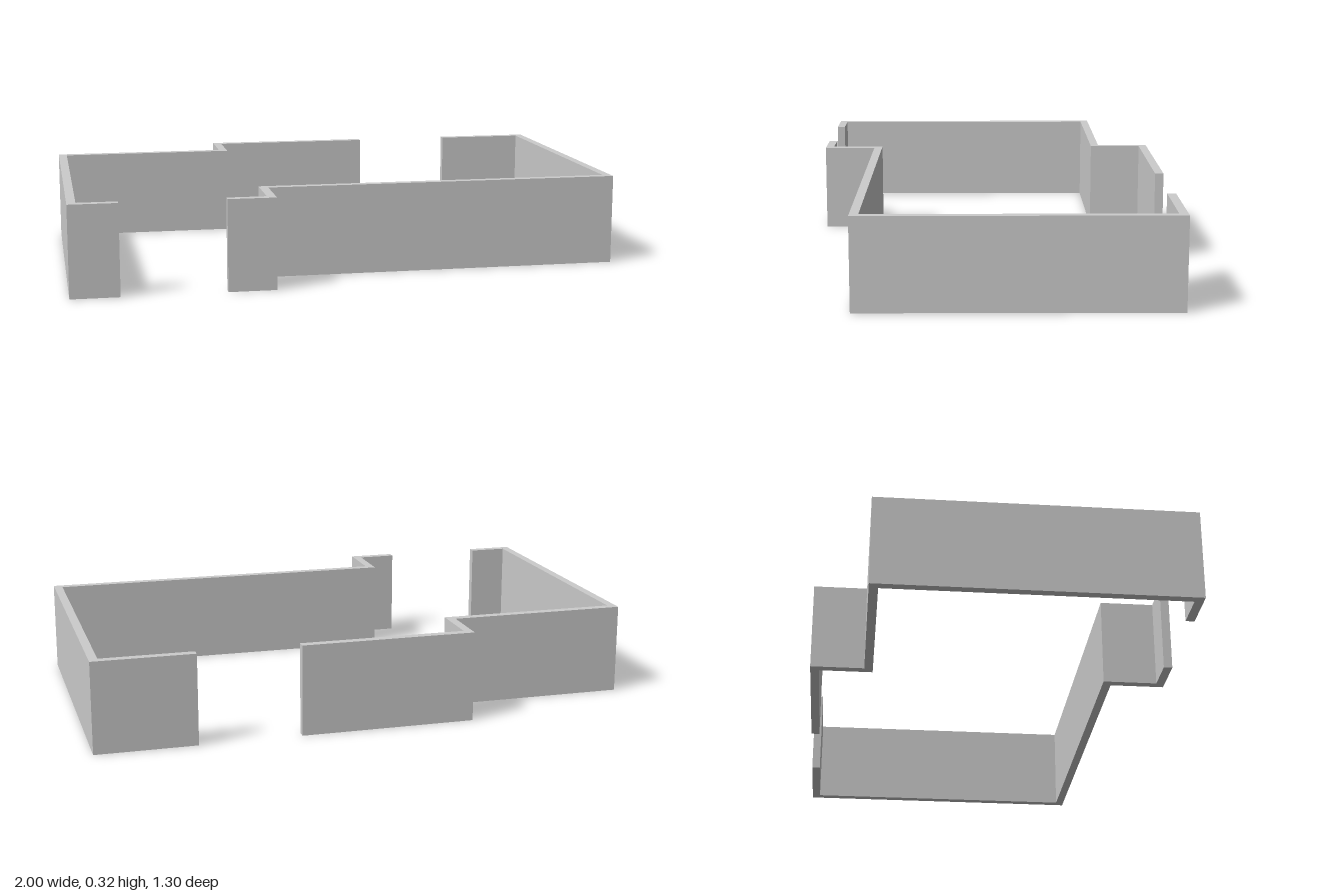
import * as THREE from 'three';

const HEIGHT = 0.325;
const THICKNESS = 0.031;

// Outer outlines of the two wall runs as [x, z], both clockwise seen from above
const RUNS = {
  leftWallRun: [[0.64, -0.649], [1, -0.649], [1, 0.453], [-0.289, 0.453], [-0.289, 0.649], [-0.46, 0.649]],
  rightWallRun: [[-0.828, 0.649], [-1, 0.649], [-1, -0.455], [-0.353, -0.455], [-0.353, -0.649], [0.275, -0.649]],
};

// Footprint of a right-angled wall: the outer line and its mitred inward offset
function wallFootprint(points) {
  const outer = points.map(([x, z]) => new THREE.Vector2(x, -z));
  const inward = outer.slice(1).map((p, i) => {
    const d = p.clone().sub(outer[i]).normalize();
    return new THREE.Vector2(d.y, -d.x).multiplyScalar(THICKNESS);
  });
  const inner = outer.map((p, i) => {
    const q = p.clone();
    if (i > 0) q.add(inward[i - 1]);
    if (i < inward.length) q.add(inward[i]);
    return q;
  });
  return new THREE.Shape([...outer, ...inner.reverse()]);
}

export function createModel() {
  const group = new THREE.Group();
  group.name = 'roomWalls';
  const material = new THREE.MeshStandardMaterial({ color: 0xcccccc });

  // Two upright wall runs, separated by the front and back doorways
  for (const [name, points] of Object.entries(RUNS)) {
    const geometry = new THREE.ExtrudeGeometry(wallFootprint(points), { depth: HEIGHT, bevelEnabled: false });
    geometry.rotateX(-Math.PI / 2);
    const wall = new THREE.Mesh(geometry, material);
    wall.name = name;
    group.add(wall);
  }
  return group;
}
